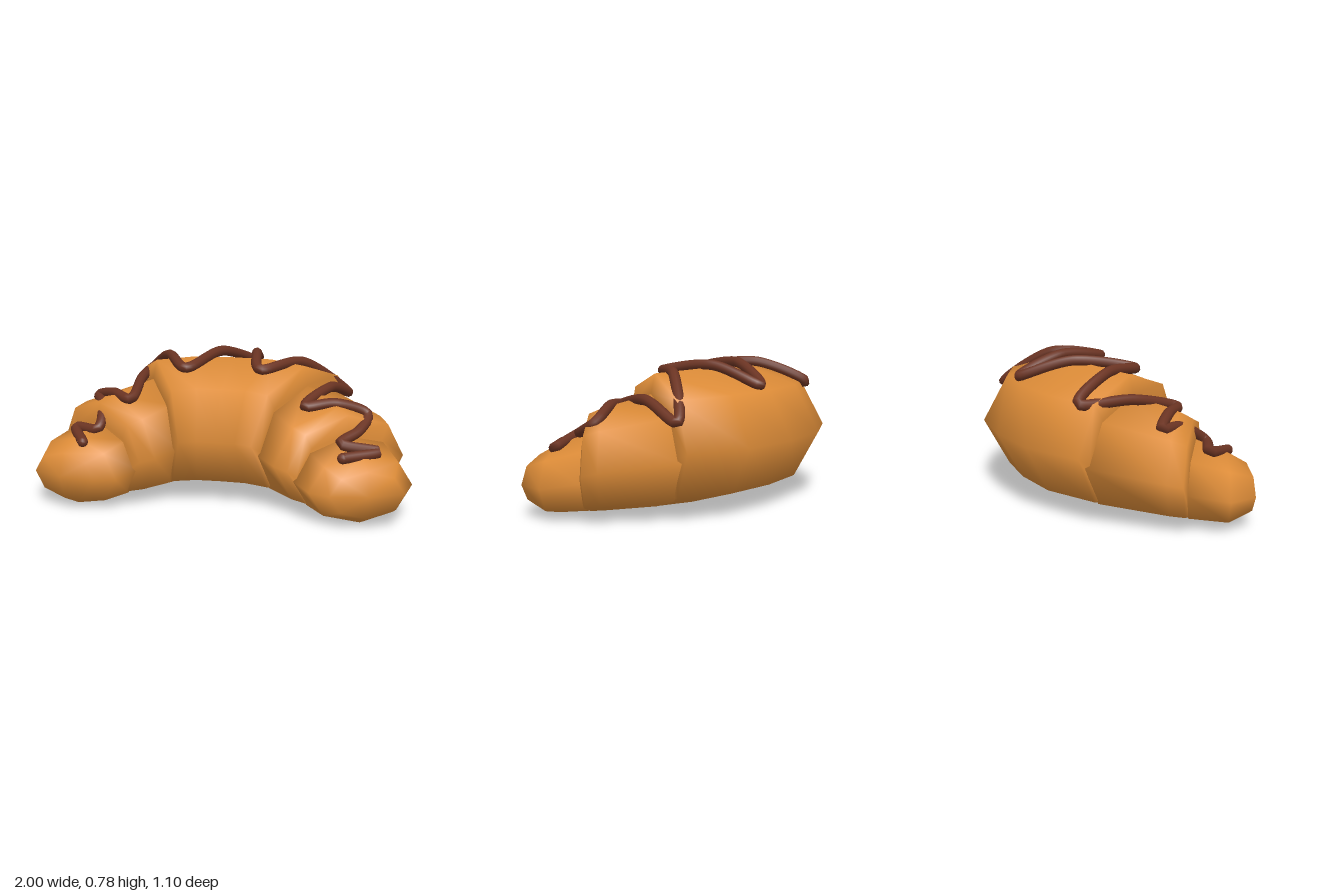
import * as THREE from 'three';
import { mergeVertices } from 'three/addons/utils/BufferGeometryUtils.js';

const SIDES = 8;

// Each station is an elliptical ring: [outerX, outerZ, innerX, innerZ, yMin, yMax]
function loft(stations) {
  const pos = [], index = [];
  stations.forEach(([ox, oz, ix, iz, y0, y1], i) => {
    for (let j = 0; j < SIDES; j++) {
      const a = (j / SIDES) * Math.PI * 2;
      const t = (1 + Math.cos(a)) / 2;
      pos.push(ox + (ix - ox) * t, (y0 + y1) / 2 + Math.sin(a) * (y1 - y0) / 2, oz + (iz - oz) * t);
      if (i === stations.length - 1) continue;
      const k = (j + 1) % SIDES, p = i * SIDES, q = p + SIDES;
      index.push(p + j, q + j, p + k, p + k, q + j, q + k);
    }
  });
  const g = new THREE.BufferGeometry();
  g.setAttribute('position', new THREE.Float32BufferAttribute(pos, 3));
  g.setIndex(index);
  const merged = mergeVertices(g);
  merged.computeVertexNormals();
  return merged;
}

const mirror = (list) => list.map(([ox, oz, ix, iz, a, b]) => [-ox, oz, -ix, iz, a, b]).reverse();

export function createModel() {
  const group = new THREE.Group();
  const pastry = new THREE.MeshStandardMaterial({ color: 0xdd8c38 });
  pastry.name = 'golden pastry';
  const chocolate = new THREE.MeshStandardMaterial({ color: 0x6b3423 });
  chocolate.name = 'chocolate';

  const add = (name, geometry, material) => {
    const mesh = new THREE.Mesh(geometry, material);
    mesh.name = name;
    group.add(mesh);
    return mesh;
  };

  // Wide middle roll, its ends rounding inwards
  const middleHalf = [
    [0.32, -0.515, 0.1, 0.39, 0.02, 0.73],
    [0.62, -0.36, 0.19, 0.41, 0.02, 0.72],
    [0.62, -0.3, 0.23, 0.37, 0.05, 0.62],
    [0.43, 0.04, 0.43, 0.04, 0.33, 0.33],
  ];
  add('middleRoll', loft([...mirror(middleHalf), [0, -0.55, 0, 0.39, 0.02, 0.73], ...middleHalf]), pastry);

  // Narrower rolls to either side
  const sideRoll = [
    [0.4, 0.02, 0.4, 0.02, 0.3, 0.3],
    [0.61, -0.32, 0.2, 0.36, 0.02, 0.62],
    [0.9, -0.03, 0.31, 0.43, 0.01, 0.55],
    [0.94, 0.04, 0.385, 0.46, 0.01, 0.52],
    [0.9, 0.09, 0.43, 0.44, 0.03, 0.43],
    [0.68, 0.27, 0.68, 0.27, 0.22, 0.22],
  ];
  // Rounded end pieces
  const tip = [
    [0.65, 0.25, 0.65, 0.25, 0.2, 0.2],
    [0.91, 0.08, 0.4, 0.43, 0.01, 0.42],
    [1.0, 0.27, 0.5, 0.51, 0, 0.36],
    [0.97, 0.43, 0.61, 0.545, 0.055, 0.3],
    [0.8, 0.52, 0.8, 0.52, 0.18, 0.18],
  ];
  add('leftRoll', loft(sideRoll), pastry);
  add('rightRoll', loft(mirror(sideRoll)), pastry);
  add('leftTip', loft(tip), pastry);
  add('rightTip', loft(mirror(tip)), pastry);

  // Zigzag drizzle over the top
  const path = [
    [-0.7, 0.35, 0.43], [-0.79, 0.385, 0.27], [-0.65, 0.4, 0.33],
    [-0.67, 0.49, 0.18], [-0.74, 0.51, 0.03], [-0.62, 0.55, 0.13],
    [-0.49, 0.55, 0.25], [-0.5, 0.61, 0], [-0.51, 0.62, -0.31],
    [-0.36, 0.73, -0.08], [-0.21, 0.71, 0.15], [-0.08, 0.75, -0.15],
    [0.07, 0.66, -0.4], [0.12, 0.75, -0.13], [0.19, 0.715, 0.14],
    [0.38, 0.72, -0.08], [0.61, 0.52, -0.29], [0.54, 0.6, -0.03],
    [0.44, 0.55, 0.23], [0.59, 0.56, 0.17], [0.75, 0.5, 0.12],
    [0.72, 0.44, 0.24], [0.64, 0.4, 0.36], [0.83, 0.36, 0.33], [0.66, 0.35, 0.45],
  ].map((p) => new THREE.Vector3(...p));
  const radius = 0.028;
  add('drizzle', new THREE.TubeGeometry(new THREE.CatmullRomCurve3(path), 260, radius, 10), chocolate);
  for (const end of [path[0], path[path.length - 1]]) {
    add('drizzleEnd', new THREE.SphereGeometry(radius, 10, 8), chocolate).position.copy(end);
  }
  return group;
}
